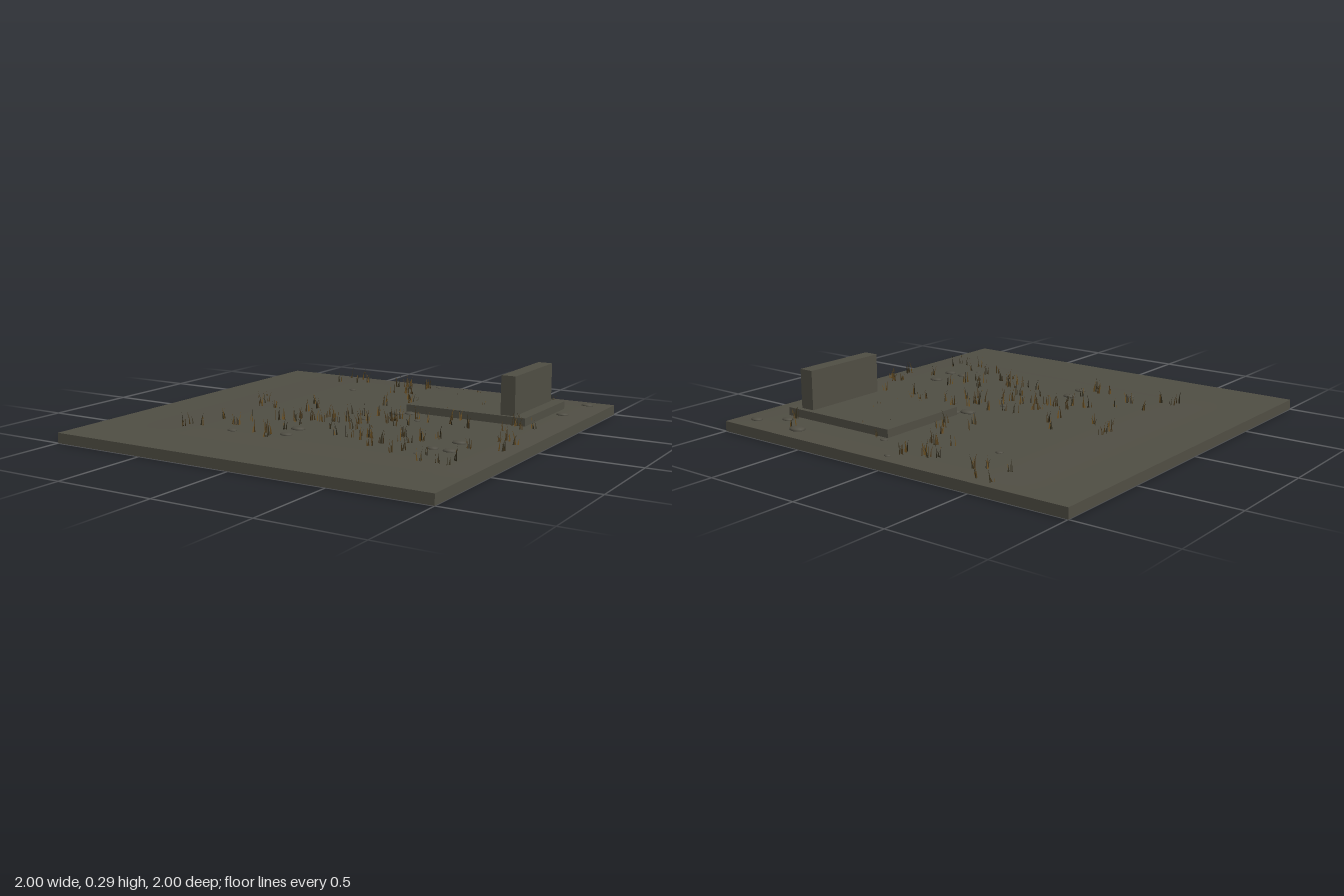
import * as THREE from 'three';
import { mergeGeometries } from 'three/addons/utils/BufferGeometryUtils.js';

const mat = (name, color, extra = {}) =>
  Object.assign(new THREE.MeshStandardMaterial({ color, ...extra }), { name });

function createRandom(seed) {
  return () => {
    seed = (seed * 1664525 + 1013904223) % 4294967296;
    return seed / 4294967296;
  };
}

// Gentle raised patch of soil in the middle of the slab
const step = THREE.MathUtils.smoothstep;
const soilHeight = (x, z) => 0.05 + 0.005 *
  step(x, -0.78, -0.5) * (1 - step(x, 0.9, 1)) *
  step(z, -1, -0.85) * (1 - step(z, 0.5, 0.78));

// Thin tapering blade that bends sideways in its own upright plane
function blade(x, y, z, height, width, lean, angle) {
  const points = [];
  for (const t of [0, 0.5, 1]) {
    const w = width * (1 - t) / 2, bend = lean * t * t;
    points.push(bend - w, height * t, 0);
    if (t < 1) points.push(bend + w, height * t, 0);
  }
  const geometry = new THREE.BufferGeometry();
  geometry.setAttribute('position', new THREE.Float32BufferAttribute(points, 3));
  geometry.setIndex([0, 1, 3, 0, 3, 2, 2, 3, 4]);
  geometry.computeVertexNormals();
  return geometry.rotateY(angle).translate(x, y, z);
}

export function createModel() {
  const model = new THREE.Group();
  const stone = mat('weathered stone', 0x504e44);
  const add = (name, geometry, material, x = 0, y = 0, z = 0) => {
    const mesh = new THREE.Mesh(geometry, material);
    mesh.name = name;
    mesh.position.set(x, y, z);
    model.add(mesh);
    return mesh;
  };

  // Ground slab with a slightly uneven top
  const ground = new THREE.BoxGeometry(2, 0.05, 2, 40, 1, 40).translate(0, 0.025, 0);
  const pos = ground.attributes.position;
  for (let i = 0; i < pos.count; i++) {
    if (pos.getY(i) > 0.04) pos.setY(i, soilHeight(pos.getX(i), pos.getZ(i)));
  }
  ground.computeVertexNormals();
  add('ground', ground, stone);

  // Plinth and upright slab
  add('plinth', new THREE.BoxGeometry(0.65, 0.047, 0.495), stone, 0.497, 0.0715, -0.505);
  add('uprightSlab', new THREE.BoxGeometry(0.075, 0.2, 0.45), stone, 0.722, 0.19, -0.5);

  // Scattered flat pebbles: x, z, radius
  const pebbles = [
    [0, -0.94, 0.018], [0.165, -0.785, 0.021], [-0.37, -0.62, 0.02],
    [0.61, -0.9, 0.044], [0.765, -0.815, 0.032], [0.89, -0.9, 0.032],
    [0.872, -0.605, 0.032], [0.155, -0.195, 0.042], [0.21, -0.228, 0.03],
    [0.32, -0.1, 0.017], [0.085, 0.005, 0.021], [-0.07, 0.36, 0.037],
    [-0.05, 0.488, 0.032], [-0.32, 0.545, 0.025], [0.71, 0.215, 0.036],
    [0.655, 0.37, 0.03], [0.745, 0.377, 0.034], [0.635, 0.485, 0.013],
  ];
  const pebbleShape = new THREE.SphereGeometry(1, 14, 6);
  for (const [x, z, r] of pebbles) {
    add('pebble', pebbleShape, stone, x, soilHeight(x, z) + r * 0.05, z)
      .scale.set(r, r * 0.3, r * 0.75);
  }

  // Grass tufts gathered in loose clusters: x, z, tuft count
  const clusters = [
    [-0.5, -0.88, 5], [-0.23, -0.76, 4], [-0.03, -0.78, 5], [-0.5, 0.05, 3],
    [-0.53, -0.17, 2], [-0.42, 0.42, 5], [-0.53, 0.52, 2], [-0.16, 0.15, 9],
    [0.02, 0.02, 9], [0.25, 0.33, 9], [0.26, -0.06, 8], [0.48, 0.25, 8],
    [0.84, 0.17, 5], [0.8, 0.5, 5], [0.88, -0.2, 5], [0.5, -0.15, 5],
    [0.05, -0.45, 6], [-0.13, 0.47, 6], [0.25, -0.66, 3], [0.4, -0.4, 4],
    [0.5, 0.48, 4], [0.1, 0.2, 5], [-0.25, -0.08, 3], [0.75, -0.86, 3],
  ];
  const colours = [
    mat('dark grass', 0x35301f, { side: THREE.DoubleSide }),
    mat('brown grass', 0x4d3c20, { side: THREE.DoubleSide }),
    mat('golden grass', 0x6e5223, { side: THREE.DoubleSide }),
  ];
  const blades = colours.map(() => []);
  const random = createRandom(17);
  const spread = (size) => (random() * 2 - 1) * size;
  for (const [cx, cz, count] of clusters) {
    for (let i = 0; i < count; i++) {
      const x = THREE.MathUtils.clamp(cx + spread(0.12), -0.58, 0.95);
      const z = THREE.MathUtils.clamp(cz + spread(0.12), -0.95, 0.59);
      const amount = 3 + Math.floor(random() * 3);
      for (let j = 0; j < amount; j++) {
        const px = x + spread(0.012), pz = z + spread(0.012);
        blades[Math.floor(random() * 3)].push(blade(
          px, soilHeight(px, pz) - 0.002, pz, 0.03 + random() * 0.045,
          0.006 + random() * 0.004, spread(0.016), random() * Math.PI));
      }
    }
  }
  blades.forEach((list, i) => add('grassBlades', mergeGeometries(list), colours[i]));

  return model;
}
